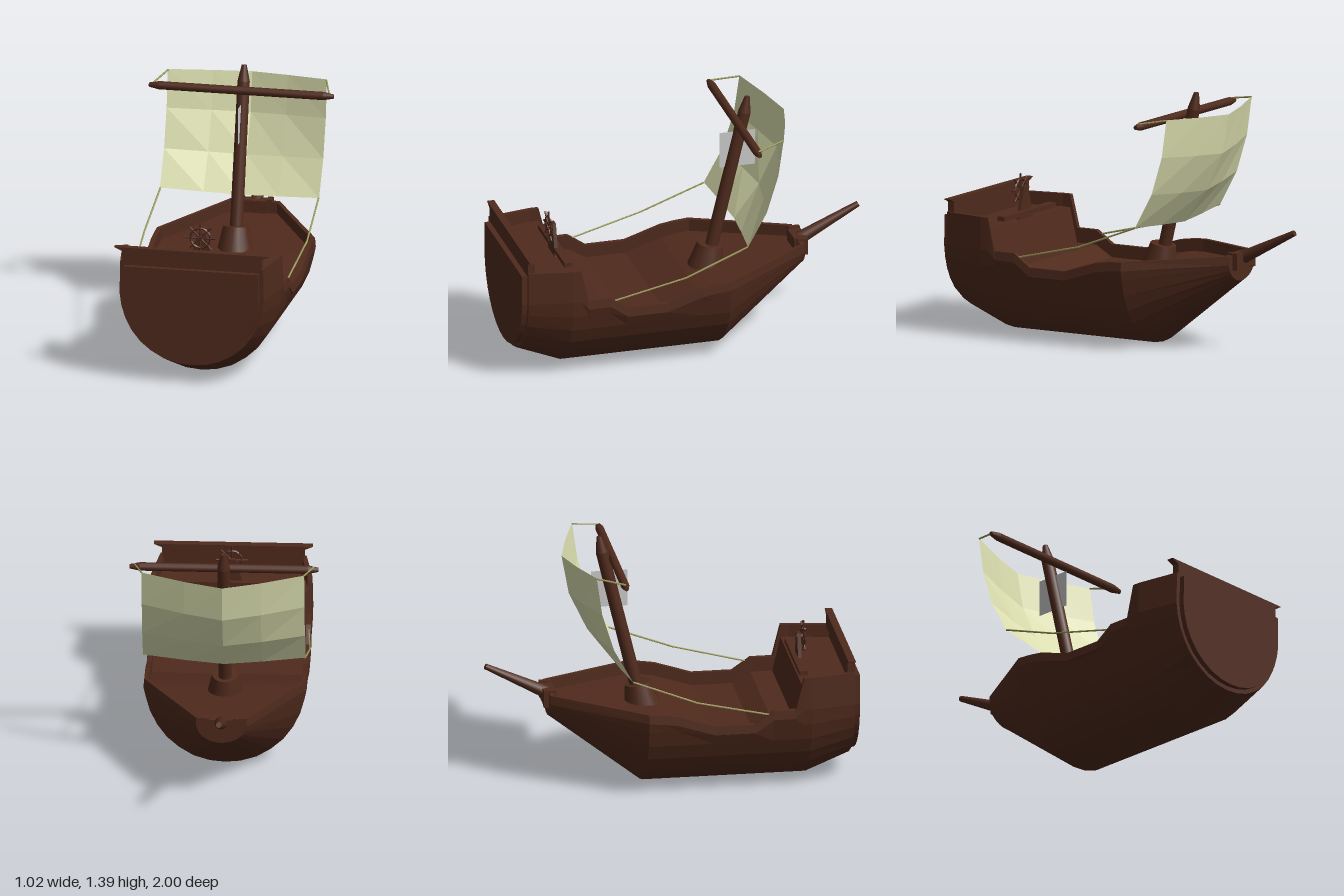
import * as THREE from 'three';

const mat = (color, flatShading = true) => new THREE.MeshStandardMaterial({ color, flatShading, side: THREE.DoubleSide });
const BROWN = 0x4f2a1c;
const wood = mat(BROWN), roundWood = mat(BROWN, false), cloth = mat(0xdde0b0), rope = mat(0x9a9a5c), grey = mat(0xcccccc);
const V = (x, y, z) => new THREE.Vector3(x, y, z);

// Half cross-section of the hull below the strake: width factor, height
const RIB = [[0, 0.004], [0.19, 0.012], [0.39, 0.04], [0.57, 0.09], [0.72, 0.15], [0.84, 0.225], [0.93, 0.31], [0.985, 0.4]];

// Stations from stern to bow: z, half width, keel height, gunwale height, deck height
const STATIONS = [
  [0.97, 0.395, 0.1, 0.67, 0.6], [0.73, 0.437, 0, 0.67, 0.6], [0.685, 0.437, 0, 0.67, 0.6],
  [0.64, 0.437, 0, 0.49, 0.41], [0.52, 0.437, 0, 0.49, 0.41], [0.42, 0.437, 0, 0.42, 0.35],
  [0.2, 0.437, 0, 0.42, 0.35], [0, 0.437, 0, 0.485, 0.415], [-0.08, 0.437, 0, 0.497, 0.43],
  [-0.16, 0.437, 0, 0.503, 0.435], [-0.655, 0.135, 0.385, 0.535, 0.475],
];

// Outer outline of a station, from the +x gunwale round the keel to the -x gunwale
function outline([, w, keel, top]) {
  const strake = Math.min(top - 0.05, 0.49);
  const half = RIB.map(([fx, y]) => [fx * w, Math.min(keel + (y / 0.5) * (0.5 - keel), strake - 0.005)]);
  half.push([w * 1.01, strake], [w, top]);
  return [...half.slice().reverse(), ...half.slice(1).map(([x, y]) => [-x, y])];
}

// Skin over rows of points; each row may close on itself
function loftGeometry(rings, closed) {
  const n = rings[0].length, pos = [], idx = [];
  rings.forEach((r) => r.forEach((p) => pos.push(p.x, p.y, p.z)));
  for (let i = 0; i < rings.length - 1; i++) {
    for (let j = 0; j < (closed ? n : n - 1); j++) {
      const k = (j + 1) % n, a = i * n + j, b = i * n + k, c = b + n, d = a + n;
      idx.push(a, b, c, a, c, d);
    }
  }
  const g = new THREE.BufferGeometry();
  g.setAttribute('position', new THREE.Float32BufferAttribute(pos, 3));
  g.setIndex(idx);
  const flat = g.toNonIndexed();
  flat.computeVertexNormals();
  return flat;
}

export function createModel() {
  const model = new THREE.Group();
  model.name = 'sailingShip';

  const add = (name, geo, material = wood, parent = model) => {
    const m = new THREE.Mesh(geo, material);
    m.name = name;
    parent.add(m);
    return m;
  };
  const box = (name, w, h, d, x, y, z) => {
    add(name, new THREE.BoxGeometry(w, h, d)).position.set(x, y, z);
  };
  // Round bar between two points
  const bar = (name, p, q, r1, r2, sides = 12, material = roundWood, parent = model) => {
    const dir = q.clone().sub(p);
    const m = add(name, new THREE.CylinderGeometry(r2, r1, dir.length(), sides), material, parent);
    m.position.copy(p).add(q).multiplyScalar(0.5);
    m.quaternion.setFromUnitVectors(V(0, 1, 0), dir.normalize());
  };
  // Flat plate in the x-y plane, reaching from z forward by depth
  const plate = (name, pts, z, depth) => {
    const shape = new THREE.Shape(pts.map(([x, y]) => new THREE.Vector2(x, y)));
    add(name, new THREE.ExtrudeGeometry(shape, { depth, bevelEnabled: false })).position.z = z;
  };

  // Hull with bulwarks and deck in one closed loft
  const rings = STATIONS.map((s) => {
    const [z, w, , top, deck] = s, inner = w - 0.026;
    const pts = [...outline(s), [-inner, top], [-inner, deck], [inner, deck], [inner, top]];
    return pts.map(([x, y]) => V(x, y, z));
  });
  add('hull', loftGeometry(rings, true));

  // End walls
  const stern = outline(STATIONS[0]);
  plate('sternWall', stern, 0.945, 0.025);
  plate('transomPanel', stern.map(([x, y]) => [x * 0.94, 0.4 + (y - 0.4) * 0.92]), 0.97, 0.03);
  plate('bowWall', outline(STATIONS[STATIONS.length - 1]), -0.657, 0.03);

  // Stern rail with flared cap
  plate('sternRail', [[-0.385, 0.66], [0.385, 0.66], [0.385, 0.725], [0.43, 0.745], [-0.43, 0.745], [-0.385, 0.725]], 0.93, 0.04);
  box('helmStep', 0.53, 0.025, 0.045, 0, 0.635, 0.708);

  // Bow block, side posts and bowsprit
  box('bowBlock', 0.15, 0.08, 0.07, 0, 0.5, -0.65);
  for (const s of [-1, 1]) box('bowPost', 0.03, 0.095, 0.06, s * 0.08, 0.5, -0.655);
  bar('bowsprit', V(0, 0.495, -0.63), V(0, 0.675, -0.992), 0.038, 0.016);

  // Steering wheel on its stand
  const helm = new THREE.Group();
  helm.name = 'helm';
  helm.position.set(0, 0.755, 0.747);
  model.add(helm);
  add('wheelRim', new THREE.TorusGeometry(0.055, 0.006, 4, 16), wood, helm);
  for (let i = 0; i < 8; i++) {
    const a = (i * Math.PI) / 4, c = Math.cos(a), s = Math.sin(a);
    bar('wheelSpoke', V(0, 0, 0), V(c * 0.086, s * 0.086, 0), 0.004, 0.006, 6, wood, helm);
  }
  bar('wheelHub', V(0, 0, -0.04), V(0, 0, 0.01), 0.012, 0.012, 8, wood, helm);
  plate('wheelStand', [[-0.07, 0.6], [0.07, 0.6], [0.02, 0.775], [-0.02, 0.775]], 0.71, 0.02);

  // Mast raked aft of the bow, with collar and pointed top
  bar('mastCollar', V(0, 0.41, -0.135), V(0, 0.54, -0.16), 0.1, 0.07, 16);
  bar('mast', V(0, 0.41, -0.14), V(0, 1.3, -0.354), 0.036, 0.034, 16);
  bar('mastTip', V(0, 1.3, -0.354), V(0, 1.388, -0.37), 0.034, 0.014, 16);

  // Yard with tapered ends
  bar('yard', V(-0.455, 1.265, -0.297), V(0.455, 1.265, -0.297), 0.023, 0.023);
  for (const s of [-1, 1]) bar('yardEnd', V(s * 0.455, 1.265, -0.297), V(s * 0.51, 1.265, -0.297), 0.023, 0.012);

  // Bellied sail: rows of edge y, edge z, middle y, middle z
  const rows = [[1.31, -0.45, 1.288, -0.575], [1.1, -0.42, 1.07, -0.535], [0.89, -0.355, 0.86, -0.435], [0.7, -0.25, 0.675, -0.295]];
  const sail = rows.map(([ey, ez, my, mz]) => [-1, -0.47, 0, 0.47, 1].map((t) => {
    const k = Math.abs(t) ** 1.2;
    return V(t * 0.44, my + (ey - my) * k, mz + (ez - mz) * k);
  }));
  add('sail', loftGeometry(sail, false), cloth);

  // Rigging on both sides
  for (const s of [-1, 1]) {
    const foot = V(s * 0.437, 0.7, -0.25), mid = V(s * 0.449, 0.565, 0.1);
    bar('sheetRope', foot, mid, 0.005, 0.005, 6, rope);
    bar('sheetRope', mid, V(s * 0.425, 0.465, 0.51), 0.005, 0.005, 6, rope);
    bar('yardRope', V(s * 0.485, 1.28, -0.297), V(s * 0.437, 1.307, -0.45), 0.005, 0.005, 6, rope);
  }

  // Thin panel on the mast
  const panel = add('mastPanel', new THREE.PlaneGeometry(0.2, 0.205), grey);
  panel.rotation.y = Math.PI / 2;
  panel.position.set(0, 1.086, -0.314);

  return model;
}
